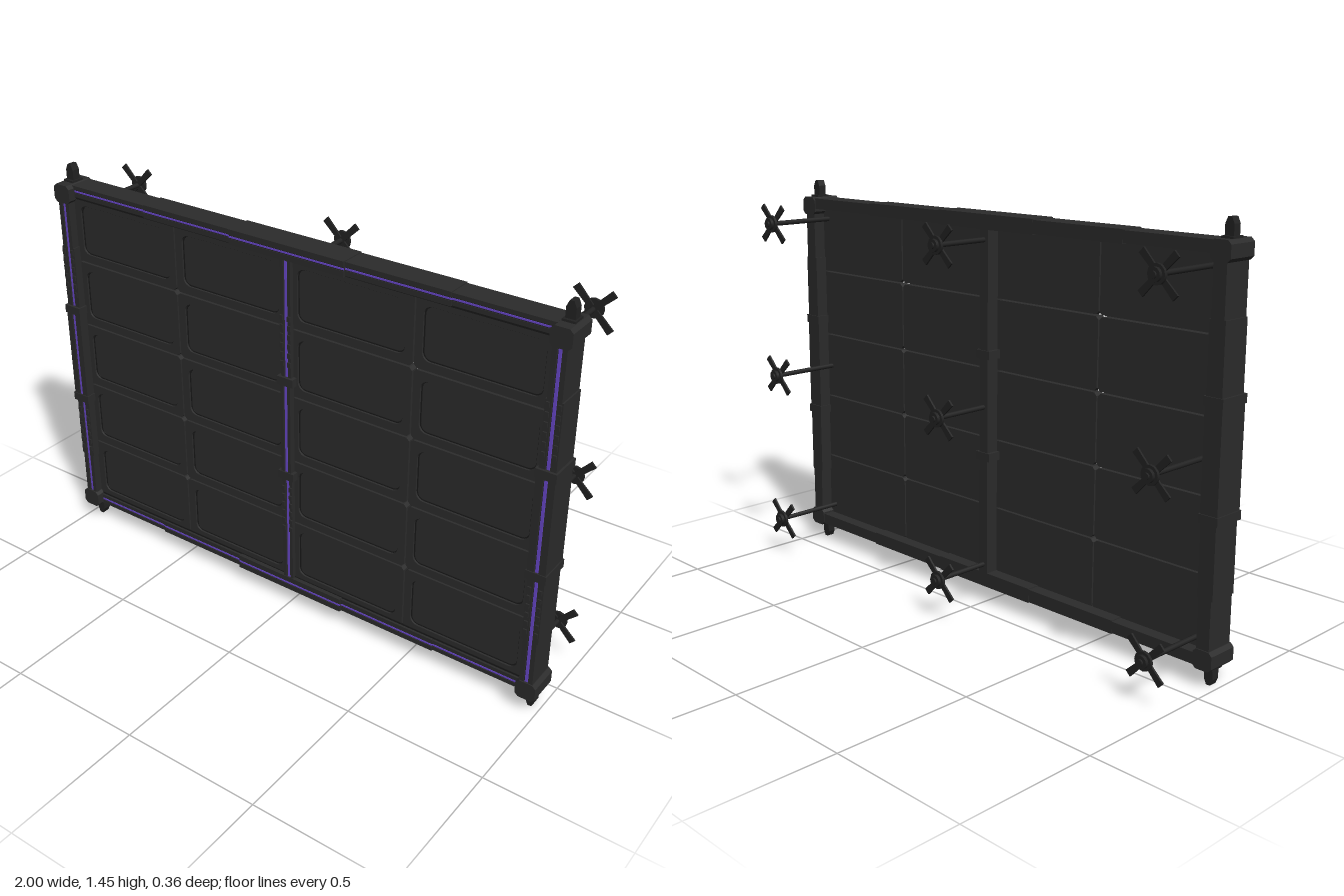
import * as THREE from 'three';

const mat = (name, color) => {
  const m = new THREE.MeshStandardMaterial({ color });
  m.name = name;
  return m;
};

export function createModel() {
  const root = new THREE.Group();
  root.name = 'panelScreen';
  const frame = mat('charcoal', 0x2b2b2b);
  const panelMat = mat('panelCharcoal', 0x2c2c2c);
  const dark = mat('anchorBlack', 0x222222);
  const groove = mat('grooveBlack', 0x191919);
  const glow = mat('violetLight', 0x6a48cc);

  const group = (name) => {
    const g = new THREE.Group();
    g.name = name;
    root.add(g);
    return g;
  };
  const add = (parent, name, geo, material) => {
    const m = new THREE.Mesh(geo, material);
    m.name = name;
    parent.add(m);
    return m;
  };
  // Box given by its limits on each axis
  const box = (parent, name, x0, x1, y0, y1, z0, z1, material = frame) => {
    const m = add(parent, name, new THREE.BoxGeometry(x1 - x0, y1 - y0, z1 - z0), material);
    m.position.set((x0 + x1) / 2, (y0 + y1) / 2, (z0 + z1) / 2);
    return m;
  };
  // Rectangle with cut corners
  const cutRect = (w, h, c) => {
    const a = w / 2, b = h / 2;
    return new THREE.Shape([[-a + c, -b], [a - c, -b], [a, -b + c], [a, b - c],
      [a - c, b], [-a + c, b], [-a, b - c], [-a, -b + c]].map(p => new THREE.Vector2(...p)));
  };
  const roundHole = (w, h, r) => {
    const p = new THREE.Path(), a = w / 2, b = h / 2, q = Math.PI / 2;
    p.absarc(a - r, b - r, r, 0, q);
    p.absarc(-a + r, b - r, r, q, 2 * q);
    p.absarc(-a + r, -b + r, r, 2 * q, 3 * q);
    p.absarc(a - r, -b + r, r, 3 * q, 4 * q);
    p.closePath();
    return p;
  };
  const slab = (shape, depth) =>
    new THREE.ExtrudeGeometry(shape, { depth, bevelEnabled: false, curveSegments: 4 });

  // Panels: four columns by five rows with open gaps between
  const panels = group('panels');
  for (const [x0, x1, winX] of [[-0.945, -0.478, -0.708], [-0.472, -0.003, -0.24],
    [0.003, 0.472, 0.24], [0.478, 0.945, 0.708]]) {
    for (let r = 0; r < 5; r++) {
      const cell = new THREE.Group();
      cell.name = 'panel';
      const cx = (x0 + x1) / 2;
      cell.position.set(cx, 0.235 + r * 0.25, 0.11);
      panels.add(cell);
      const w = x1 - x0, h = 0.244;
      add(cell, 'panelPlate', slab(cutRect(w, h, 0.01), 0.024), panelMat);
      const rim = cutRect(w, h, 0.01);
      const hole = roundHole(0.408, 0.184, 0.03);
      const pts = hole.getPoints(4).map(p => new THREE.Vector2(p.x + winX - cx, p.y));
      rim.holes.push(new THREE.Path(pts));
      add(cell, 'panelRim', slab(rim, 0.009), panelMat).position.z = 0.024;
      // Dark outline at the foot of the rim
      const line = new THREE.Shape(roundHole(0.408, 0.184, 0.03).getPoints(4));
      line.holes.push(new THREE.Path(roundHole(0.4, 0.176, 0.026).getPoints(4)));
      add(cell, 'panelOutline', slab(line, 0.002), groove).position.set(winX - cx, 0, 0.024);
    }
  }

  // Top and bottom rails, stepped thicker towards the middle
  for (const [name, y, s] of [['topRail', 1.375, 1], ['bottomRail', 0.097, -1]]) {
    const rail = group(name);
    const lo = y - 0.02, hi = y + 0.02;
    for (const [half, grow, front] of [[0.94, 0, 0.15], [0.6, 0.003, 0.153], [0.225, 0.006, 0.16]]) {
      const back = 0.064 - grow / 3;
      box(rail, 'railCore', -half, half, lo - grow, hi + grow, back, front - 0.004);
      // Lips either side of the light channel
      box(rail, 'railLip', -half, half, y + 0.006, hi + grow, front - 0.004, front);
      box(rail, 'railLip', -half, half, lo - grow, y - 0.006, front - 0.004, front);
    }
    for (const [a, b, z] of [[-0.93, -0.6, 0.146], [-0.6, -0.225, 0.149],
      [-0.225, 0.225, 0.156], [0.225, 0.6, 0.149], [0.6, 0.93, 0.146]]) {
      box(rail, 'railChannel', a, b, y - 0.006, y + 0.006, z, z + 0.001, groove);
      box(rail, 'railLight', a, b, y - 0.003, y + 0.003, z, z + 0.003, glow);
    }
    // Shadow groove along the inner edge
    box(rail, 'railGroove', -0.93, 0.93, y - s * 0.026 - 0.003, y - s * 0.026 + 0.003, 0.141, 0.145, groove);
  }

  // An upright: two cheeks around a light channel, collars and small ribs
  const upright = (name, x, bottom, top, half, back, front, side) => {
    const post = group(name);
    const sections = [[bottom, 0.3, 0], [0.3, 0.545, 0.005], [0.545, 0.92, 0.008],
      [0.92, 1.165, 0.005], [1.165, top, 0]];
    for (const [y0, y1, g] of sections) {
      const grow = side ? g : 0;
      const f = front + (g === 0.008 ? 0.006 : 0);
      box(post, 'postCore', x - half - grow, x + half + grow, y0, y1, back, f - 0.008);
      for (const s of [-1, 1]) {
        const a = x + s * 0.008, b = x + s * (half + grow);
        box(post, 'postCheek', Math.min(a, b), Math.max(a, b), y0, y1, f - 0.008, f);
      }
      box(post, 'postChannel', x - 0.008, x + 0.008, y0, y1, f - 0.008, f - 0.007, groove);
      box(post, 'postLight', x - 0.005, x + 0.005, y0, y1, f - 0.008, f - 0.003, glow);
    }
    for (const y of [0.555, 0.92])
      box(post, 'postCollar', x - half - 0.012, x + half + 0.012, y - 0.015, y + 0.015,
        back - 0.004, front + 0.009);
    for (const start of [0.325, 0.975])
      for (let i = 0; i < 6; i++)
        for (const s of [-1, 1]) {
          const c = x + s * (half - 0.005);
          box(post, 'postRib', c - 0.006, c + 0.006, start + i * 0.033, start + i * 0.033 + 0.018,
            front, front + 0.005);
        }
  };
  upright('leftPost', 0.962, 0.1, 1.37, 0.024, 0.064, 0.172, true);
  upright('rightPost', -0.962, 0.1, 1.37, 0.024, 0.064, 0.172, true);
  upright('centrePost', 0, 0.117, 1.355, 0.02, 0.062, 0.158, false);

  // Corner blocks with cut edges and pegs above and below
  for (const x of [-0.964, 0.964])
    for (const [y, s] of [[0.102, -1], [1.365, 1]]) {
      const corner = group('corner');
      corner.position.set(x, y, 0);
      add(corner, 'cornerBlock', slab(cutRect(0.072, 0.066, 0.012), 0.116), frame).position.z = 0.06;
      const pin = new THREE.Shape([[-0.016, 0], [0.016, 0], [0.016, 0.075], [0.007, 0.095],
        [-0.007, 0.095], [-0.016, 0.075]].map(p => new THREE.Vector2(...p)));
      const peg = add(corner, 'peg', slab(pin, 0.03), dark);
      peg.position.z = s > 0 ? 0.099 : 0.129;
      if (s < 0) peg.rotation.x = Math.PI;
      const collar = add(corner, 'pegCollar', new THREE.BoxGeometry(0.042, 0.012, 0.05), dark);
      collar.position.set(0, s * 0.034, 0.114);
    }

  // Rear anchors: rod, four-armed plate and stepped hub
  const arm = new THREE.Shape([[-0.009, 0], [0.009, 0], [0.012, 0.088], [-0.012, 0.088]]
    .map(p => new THREE.Vector2(...p)));
  const round = (parent, name, r, z0, z1, sides) => {
    const m = add(parent, name, new THREE.CylinderGeometry(r, r, z1 - z0, sides), dark);
    m.rotation.x = Math.PI / 2;
    m.position.z = (z0 + z1) / 2;
  };
  for (const x of [-0.91, 0, 0.91])
    for (const y of [0.153, 0.733, 1.315]) {
      const anchor = group('rearAnchor');
      anchor.position.set(x, y, 0);
      round(anchor, 'rod', 0.009, -0.15, 0.112, 8);
      for (let i = 0; i < 4; i++) {
        const a = add(anchor, 'anchorArm', slab(arm, 0.007), dark);
        a.position.z = -0.154;
        a.rotation.z = Math.PI / 4 + i * Math.PI / 2;
      }
      round(anchor, 'hub', 0.032, -0.163, -0.153, 12);
      round(anchor, 'hubStep', 0.022, -0.174, -0.163, 12);
      round(anchor, 'hubTip', 0.011, -0.18, -0.174, 12);
    }

  return root;
}
